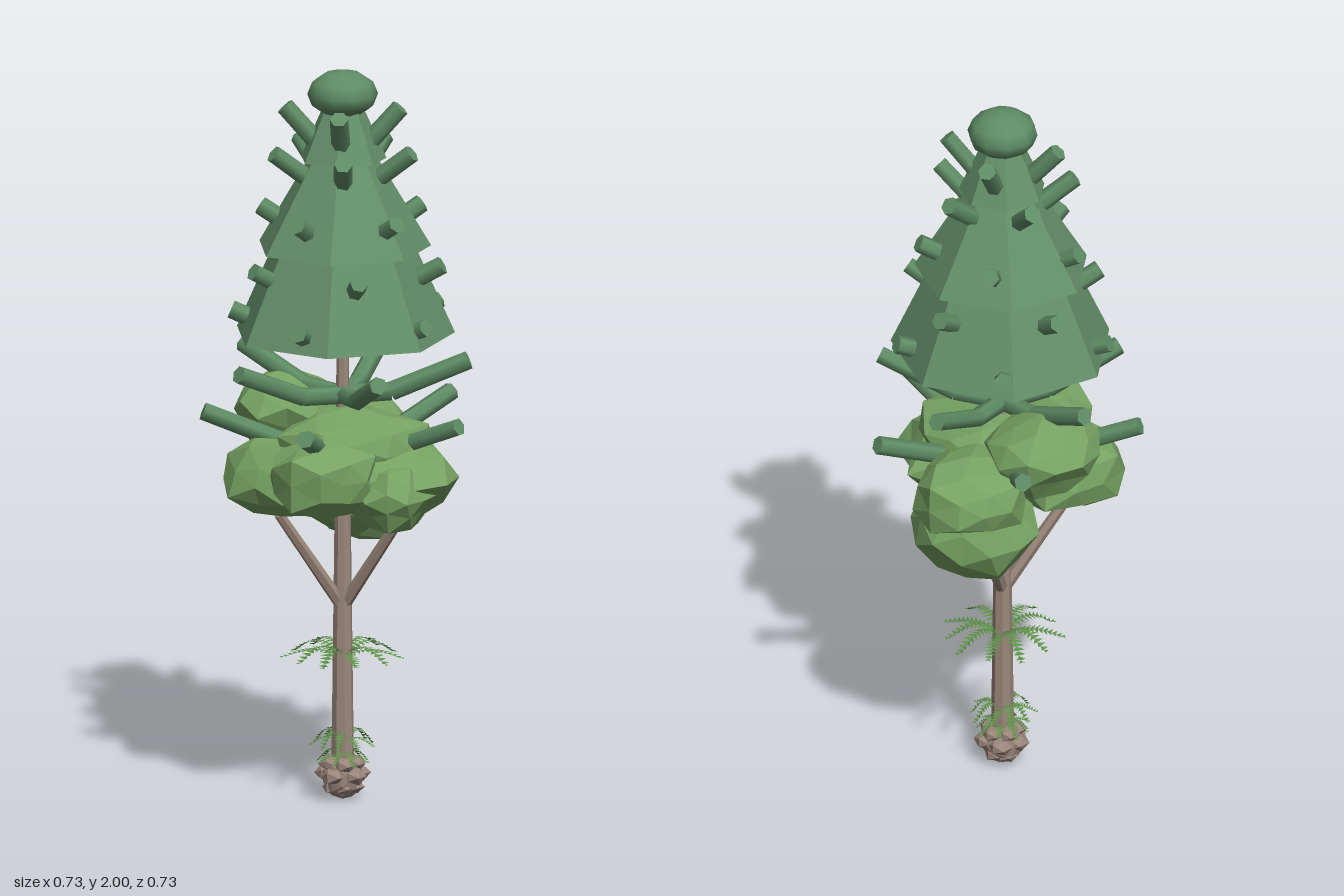
import * as THREE from 'three';

const CX = -0.018; // trunk axis
const material = (name, color, flatShading = true, side = THREE.FrontSide) => {
  const m = new THREE.MeshStandardMaterial({ color, flatShading, side });
  m.name = name;
  return m;
};

export function createModel() {
  const root = new THREE.Group();
  root.name = 'layeredTree';
  const conifer = material('coniferGreen', 0x648f69);
  const crown = material('crownGreen', 0x5f8d65, false);
  const leaf = material('leafGreen', 0x76a262);
  const bark = material('barkBrown', 0x9a877a);
  const stone = material('stoneBrown', 0x9a857a);
  const fern = material('fernGreen', 0x5c9048, true, THREE.DoubleSide);

  const add = (parent, name, geo, mat, x = 0, y = 0, z = 0) => {
    const m = new THREE.Mesh(geo, mat);
    m.name = name;
    m.position.set(x, y, z);
    parent.add(m);
    return m;
  };
  const group = (name) => {
    const g = new THREE.Group();
    g.name = name;
    root.add(g);
    return g;
  };
  // Point at a compass angle (degrees clockwise from the back) around the trunk
  const polar = (deg, r, y) => {
    const a = THREE.MathUtils.degToRad(deg);
    return new THREE.Vector3(CX + r * Math.sin(a), y, -r * Math.cos(a));
  };
  // Straight six-sided rod between two points
  const rod = (parent, name, a, b, r0, r1, mat) => {
    const d = b.clone().sub(a);
    const m = add(parent, name, new THREE.CylinderGeometry(r1, r0, d.length(), 6), mat);
    m.position.copy(a).add(b).multiplyScalar(0.5);
    m.quaternion.setFromUnitVectors(new THREE.Vector3(0, 1, 0), d.normalize());
  };
  // Faceted lump with vertices pushed in and out by a rule of their position
  const lump = (parent, name, mat, [x, y, z, rx, ry, rz], seed, detail, rough) => {
    const g = new THREE.IcosahedronGeometry(1, detail);
    const p = g.attributes.position;
    const v = new THREE.Vector3();
    for (let i = 0; i < p.count; i++) {
      v.fromBufferAttribute(p, i);
      const n = Math.sin(v.x * 5.1 + seed * 2.3) + Math.sin(v.y * 6.3 + seed * 1.7) + Math.sin(v.z * 5.7 + seed * 3.1);
      v.multiplyScalar(1 + (rough * n) / 3);
      p.setXYZ(i, v.x * rx, v.y * ry, v.z * rz);
    }
    g.computeVertexNormals();
    add(parent, name, g, mat, x, y, z);
  };

  // Trunk and three forked limbs
  add(root, 'trunk', new THREE.CylinderGeometry(0.016, 0.031, 1.2, 8), bark, CX, 0.68, 0);
  const limbs = group('limbs');
  for (const a of [90, 210, 330])
    rod(limbs, 'limb', polar(a, 0.005, 0.535), polar(a, 0.19, 0.8), 0.018, 0.014, bark);

  // Seven-sided conifer tiers: bottom radius, top radius, bottom y, top y
  const tiers = group('coniferTiers');
  for (const [rb, rt, y0, y1] of [
    [0.302, 0.19, 1.275, 1.525],
    [0.238, 0.09, 1.515, 1.765],
    [0.118, 0.05, 1.758, 1.91],
  ]) {
    const t = add(tiers, 'tier', new THREE.CylinderGeometry(rt, rb, y1 - y0, 7), conifer, CX, (y0 + y1) / 2, 0);
    t.rotation.y = Math.PI;
  }
  const belly = add(tiers, 'tierUnderside', new THREE.SphereGeometry(0.21, 12, 4, 0, Math.PI * 2, Math.PI / 2, Math.PI / 2), crown, CX, 1.28, 0);
  belly.scale.y = 0.2;
  const ball = add(root, 'crownBall', new THREE.SphereGeometry(0.095, 10, 6), crown, CX, 1.936, 0);
  ball.scale.y = 0.68;

  // Twig rings: count, first angle, then [radius, height] points outward
  const twigs = group('twigs');
  for (const [n, a0, ...path] of [
    [4, 60, [0.04, 1.77], [0.155, 1.9]],
    [5, 2, [0.06, 1.68], [0.195, 1.785]],
    [5, 35, [0.08, 1.53], [0.228, 1.617]],
    [5, -7, [0.12, 1.39], [0.27, 1.475]],
    [5, 26, [0.16, 1.28], [0.3, 1.338]],
    [5, 58, [0, 1.11], [0.13, 1.12], [0.338, 1.207]],
    [5, 18, [0, 0.95], [0.13, 0.97], [0.374, 1.068]],
  ])
    for (let i = 0; i < n; i++)
      for (let k = 1; k < path.length; k++) {
        const a = a0 + (360 / n) * i;
        rod(twigs, 'twig', polar(a, ...path[k - 1]), polar(a, ...path[k]), 0.026, 0.025, crown);
      }

  // Broadleaf canopy: centre and radii of each clump
  const canopy = group('leafCanopy');
  [
    [0.135, 0.9, -0.01, 0.155, 0.125, 0.18],
    [-0.11, 0.895, 0.14, 0.16, 0.11, 0.17],
    [0.05, 0.93, 0.19, 0.15, 0.115, 0.16],
    [-0.2, 1.045, -0.02, 0.15, 0.11, 0.16],
    [-0.08, 0.82, -0.17, 0.17, 0.145, 0.16],
    [-0.11, 0.95, -0.21, 0.16, 0.11, 0.15],
    [0.02, 0.98, 0.0, 0.2, 0.11, 0.2],
    [0.185, 0.87, 0.07, 0.11, 0.09, 0.13],
  ].forEach((c, i) => lump(canopy, 'leafClump', leaf, c, i + 1, 1, 0.22));

  // Rock cluster at the foot: rings of height, radius, stone size, count
  const rocks = group('rockCluster');
  lump(rocks, 'rock', stone, [CX, 0.064, 0, 0.057, 0.064, 0.057], 3, 1, 0.06);
  [[0.036, 0.028, 0.03, 5], [0.07, 0.044, 0.035, 5], [0.1, 0.036, 0.03, 5]].forEach(([y, r, s, n], k) => {
    for (let i = 0; i < n; i++) {
      const p = polar((360 / n) * i + k * 34, r, y);
      lump(rocks, 'rock', stone, [p.x, p.y, p.z, s, s * 0.7, s], i + k * 7, 0, 0.2);
    }
  });

  // Fern frond: arching row of paired leaflets along +x
  const frond = (len, rise, drop, width) => {
    const pos = [];
    const steps = 14;
    const h = (t) => rise * Math.sin(Math.PI * Math.min(t * 1.1, 1)) - drop * t * t;
    for (let i = 0; i < steps; i++) {
      const t = i / steps;
      const t2 = (i + 0.9) / steps;
      const w = width * Math.sin(Math.PI * (0.2 + 0.72 * t));
      for (const s of [-1, 1])
        pos.push(t * len, h(t), 0, t2 * len, h(t2), 0, (t + 0.09) * len, h(t) - w * 0.15, s * w);
      // midrib
      const u = (i + 1) / steps;
      pos.push(t * len, h(t), -0.002, t * len, h(t), 0.002, u * len, h(u), 0);
    }
    const g = new THREE.BufferGeometry();
    g.setAttribute('position', new THREE.Float32BufferAttribute(pos, 3));
    g.computeVertexNormals();
    return g;
  };
  // Fern rosettes: height, fronds, length, rise, drop, leaflet width
  const ferns = group('ferns');
  for (const [y, n, len, rise, drop, w] of [
    [0.395, 11, 0.168, 0.035, 0.002, 0.024],
    [0.155, 10, 0.094, 0.036, 0.006, 0.017],
    [0.112, 9, 0.078, 0.024, 0.01, 0.016],
  ]) {
    const g = frond(len, rise, drop, w);
    for (let i = 0; i < n; i++) {
      const f = add(ferns, 'fernFrond', g, fern, CX, y, 0);
      f.rotation.y = (i / n) * Math.PI * 2 + y;
      f.scale.set(i % 2 ? 0.92 : 1, i % 3 ? 1 : 0.5, 1);
    }
  }
  return root;
}
